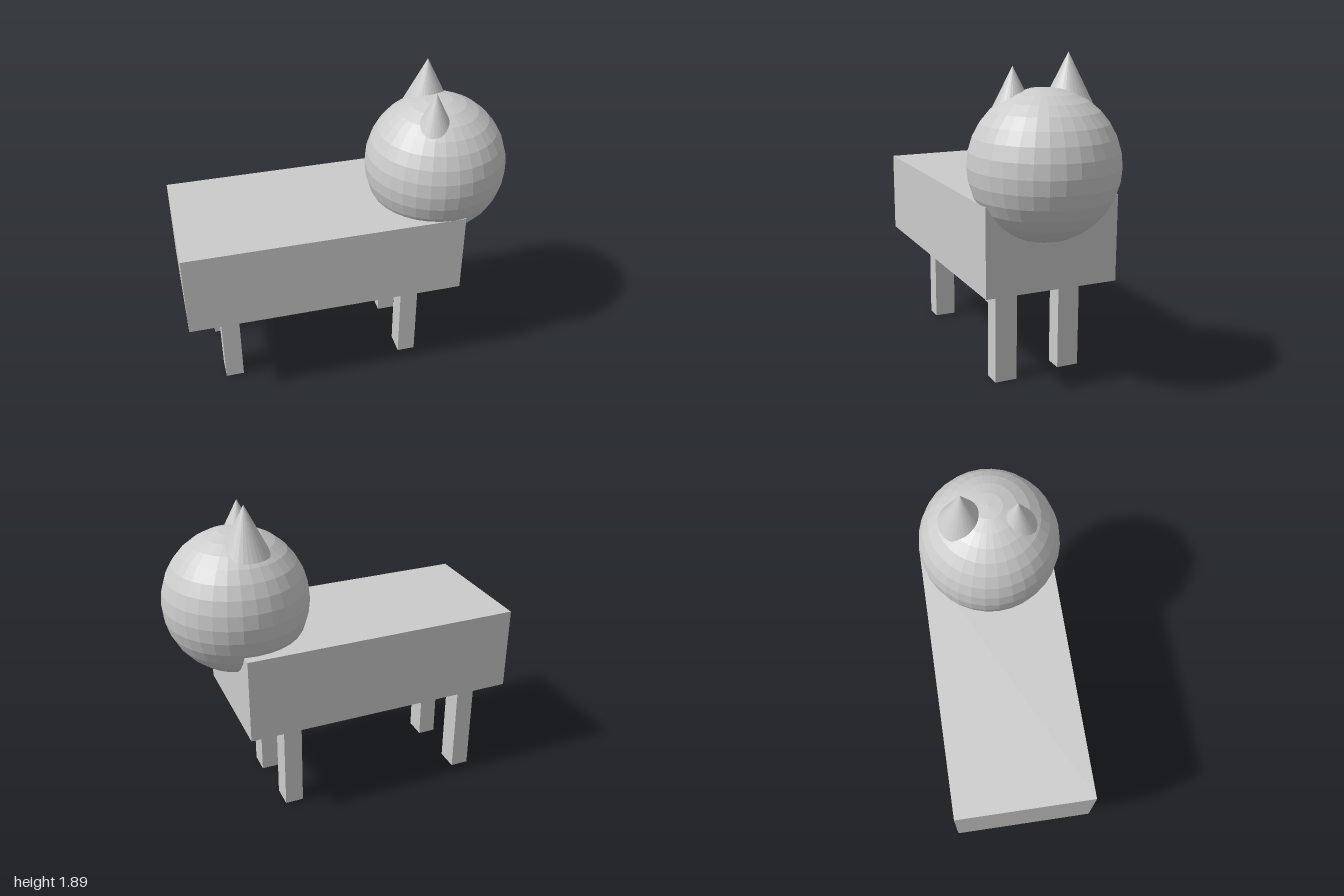
import * as THREE from 'three';

export function createModel() {
  const model = new THREE.Group();
  const material = new THREE.MeshStandardMaterial({ color: 0xcccccc, flatShading: true });

  function add(name, geometry, x, y, z) {
    const mesh = new THREE.Mesh(geometry, material);
    mesh.name = name;
    mesh.position.set(x, y, z);
    model.add(mesh);
  }

  // Long box torso
  add('body', new THREE.BoxGeometry(1.65, 0.505, 0.8), -0.175, 0.853, -0.025);

  // Ball head sunk into the end of the torso
  add('head', new THREE.SphereGeometry(0.42, 32, 16), 0.575, 1.29, 0);

  // Upright cone ears: [name, x, tip height, z]
  const earHeight = 0.28;
  for (const [name, x, tip, z] of [
    ['largeEar', 0.55, 1.89, -0.15],
    ['smallEar', 0.5, 1.82, 0.155],
  ]) {
    add(name, new THREE.ConeGeometry(0.14, earHeight, 32), x, tip - earHeight / 2, z);
  }

  // Slightly uneven legs running up into the torso: [name, x, foot height, z]
  const legHeight = 0.65;
  for (const [name, x, foot, z] of [
    ['foreLegNear', 0.38, 0, 0.16],
    ['foreLegFar', 0.365, 0.015, -0.25],
    ['hindLegNear', -0.748, 0.01, 0.12],
    ['hindLegFar', -0.765, 0.018, -0.3],
  ]) {
    add(name, new THREE.BoxGeometry(0.11, legHeight, 0.135), x, foot + legHeight / 2, z);
  }

  return model;
}
